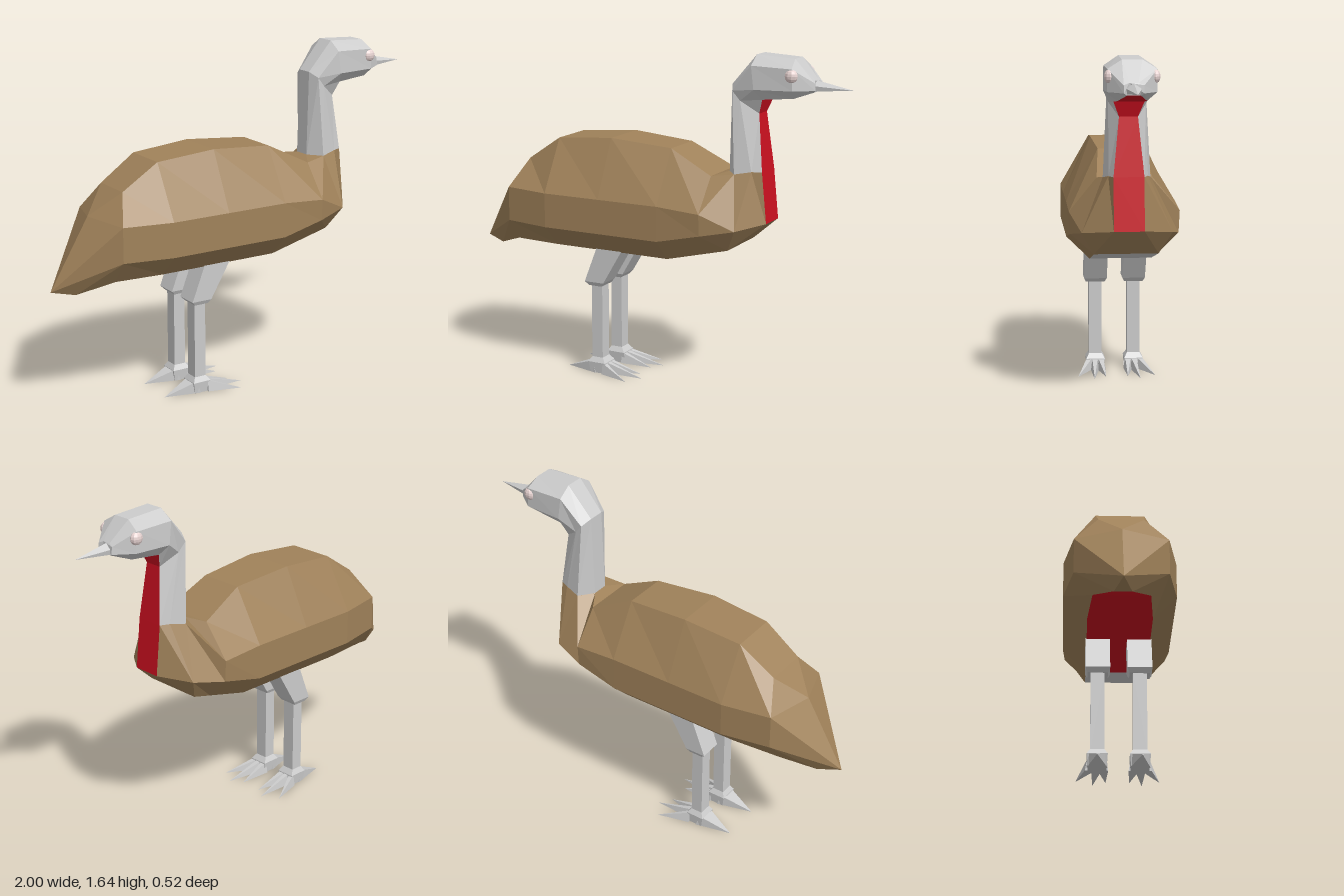
import * as THREE from 'three';
import { ConvexGeometry } from 'three/addons/geometries/ConvexGeometry.js';

const mat = (color) => new THREE.MeshStandardMaterial({ color, flatShading: true });
const grey = mat(0xcccccc), brown = mat(0xa0825a), red = mat(0xcc1020), eyeMat = mat(0xe8d4d2);

// Skins half sections (top to bottom, left side) mirrored into closed rings.
// pick(section, strip) chooses the material; one mesh is made per material.
function loft(name, halves, pick) {
  const rings = halves.map((h) => [...h, ...h.map(([x, y, z]) => [x, y, -z]).reverse()]
    .map((p) => new THREE.Vector3(...p)));
  const n = rings[0].length, buckets = new Map();
  const tri = (m, a, b, c) => {
    if (new THREE.Triangle(a, b, c).getArea() < 1e-6) return;
    if (!buckets.has(m)) buckets.set(m, []);
    buckets.get(m).push(a, b, c);
  };
  for (let s = 0; s < rings.length - 1; s++) {
    for (let j = 0; j < n; j++) {
      const k = (j + 1) % n, a = rings[s], b = rings[s + 1], m = pick(s, j);
      tri(m, a[j], a[k], b[k]);
      tri(m, a[j], b[k], b[j]);
    }
  }
  const end = rings[rings.length - 1];
  for (let j = 1; j < n - 1; j++) tri(pick(rings.length - 1, -1), end[0], end[j], end[j + 1]);
  const group = new THREE.Group();
  group.name = name;
  for (const [m, pts] of buckets) {
    const geo = new THREE.BufferGeometry().setFromPoints(pts);
    geo.computeVertexNormals();
    const mesh = new THREE.Mesh(geo, m);
    mesh.name = name + (m === red ? 'Underside' : m === grey ? 'Plain' : 'Plumage');
    group.add(mesh);
  }
  return group;
}

function hull(name, points, material = grey) {
  const mesh = new THREE.Mesh(new ConvexGeometry(points.map((p) => new THREE.Vector3(...p))), material);
  mesh.name = name;
  return mesh;
}

// Rectangle at height y
const rect = (y, x0, x1, z0, z1) => [[x0, y, z0], [x1, y, z0], [x1, y, z1], [x0, y, z1]];

function leg(side) {
  const g = new THREE.Group();
  g.name = side > 0 ? 'leftLeg' : 'rightLeg';
  const s = (pts) => pts.map(([x, y, z]) => [x, y, z * side]);
  g.add(hull('thigh', s([
    ...rect(0.72, -0.235, -0.08, 0.04, 0.155),
    ...rect(0.475, -0.33, -0.225, 0.04, 0.155),
    ...rect(0.455, -0.31, -0.24, 0.05, 0.145)])));
  g.add(hull('shank', s([
    ...rect(0.46, -0.305, -0.245, 0.065, 0.13),
    ...rect(0.05, -0.305, -0.245, 0.065, 0.13)])));
  g.add(hull('ankle', s([
    ...rect(0.08, -0.305, -0.245, 0.065, 0.13),
    ...rect(0.055, -0.32, -0.225, 0.05, 0.145),
    ...rect(0, -0.31, -0.22, 0.055, 0.14)])));
  // Three front toes, each [base z, tip x, tip z]
  for (const [z, tx, tz] of [[0.07, -0.07, 0.055], [0.1, -0.03, 0.115], [0.128, -0.08, 0.195]]) {
    g.add(hull('frontToe', s([
      [-0.24, 0.055, z - 0.014], [-0.24, 0.055, z + 0.014],
      [-0.24, 0, z - 0.024], [-0.24, 0, z + 0.024], [tx, 0, tz]])));
  }
  g.add(hull('backToe', s([
    [-0.3, 0.06, 0.055], [-0.3, 0.06, 0.14],
    [-0.28, 0, 0.05], [-0.28, 0, 0.145], [-0.46, 0, 0.1]])));
  return g;
}

export function createModel() {
  const model = new THREE.Group();
  model.name = 'bird';

  // Body: each section is ridge, upper flank, lower flank, belly edge
  const tip = [-1, 0.605, 0];
  const body = [
    [tip, tip, tip, tip],
    [[-0.8, 0.94, 0], [-0.73, 0.925, 0.215], [-0.73, 0.755, 0.215], [-0.89, 0.585, 0.04]],
    [[-0.67, 1.06, 0.105], [-0.73, 0.925, 0.215], [-0.73, 0.755, 0.215], [-0.73, 0.645, 0.13]],
    [[-0.49, 1.18, 0.115], [-0.49, 0.925, 0.262], [-0.49, 0.755, 0.262], [-0.49, 0.645, 0.15]],
    [[-0.19, 1.205, 0.125], [-0.19, 0.925, 0.262], [-0.19, 0.755, 0.262], [-0.19, 0.645, 0.15]],
    [[0.13, 1.18, 0.11], [0.13, 0.925, 0.262], [0.13, 0.755, 0.262], [0.13, 0.645, 0.15]],
    [[0.35, 1.07, 0.13], [0.35, 0.91, 0.26], [0.35, 0.805, 0.255], [0.35, 0.7, 0.15]],
    [[0.405, 1.085, 0.04], [0.46, 1.085, 0.11], [0.51, 0.835, 0.21], [0.45, 0.725, 0.15]],
    [[0.54, 1.1, 0.09], [0.54, 1.1, 0.09], [0.51, 0.835, 0.21], [0.45, 0.725, 0.15]],
    [[0.585, 1.1, 0.07], [0.585, 1.1, 0.07], [0.61, 0.855, 0.07], [0.61, 0.855, 0.07]],
  ];
  model.add(loft('body', body, (s, j) => {
    if (j === -1) return red;
    if (j !== 3) return brown;
    return s >= 1 && s <= 4 ? red : s === 5 || s === 6 ? grey : brown;
  }));

  // Neck and head: each section is nape, upper side, lower side, throat
  const head = [
    [[0.405, 1.075, 0.04], [0.46, 1.08, 0.11], [0.54, 1.095, 0.09], [0.585, 1.1, 0.07]],
    [[0.415, 1.5, 0.04], [0.437, 1.475, 0.09], [0.475, 1.43, 0.085], [0.555, 1.37, 0.043]],
    [[0.54, 1.645, 0.045], [0.54, 1.6, 0.112], [0.555, 1.49, 0.115], [0.58, 1.44, 0.07]],
    [[0.73, 1.635, 0.045], [0.74, 1.595, 0.11], [0.745, 1.495, 0.11], [0.735, 1.455, 0.065]],
    [[0.82, 1.54, 0.02], [0.828, 1.53, 0.045], [0.832, 1.495, 0.045], [0.82, 1.485, 0.03]],
  ];
  model.add(loft('neckAndHead', head, (s, j) => (j === 3 ? red : grey)));

  model.add(hull('beak', [
    [0.81, 1.54, 0], [0.82, 1.515, 0.035], [0.82, 1.49, 0.03],
    [0.82, 1.49, -0.03], [0.82, 1.515, -0.035], [1, 1.502, 0]]));

  for (const side of [1, -1]) {
    const eye = new THREE.Mesh(new THREE.SphereGeometry(0.032, 10, 8), eyeMat);
    eye.name = side > 0 ? 'leftEye' : 'rightEye';
    eye.position.set(0.735, 1.562, 0.1 * side);
    eye.scale.z = 0.75;
    model.add(eye, leg(side));
  }
  return model;
}
